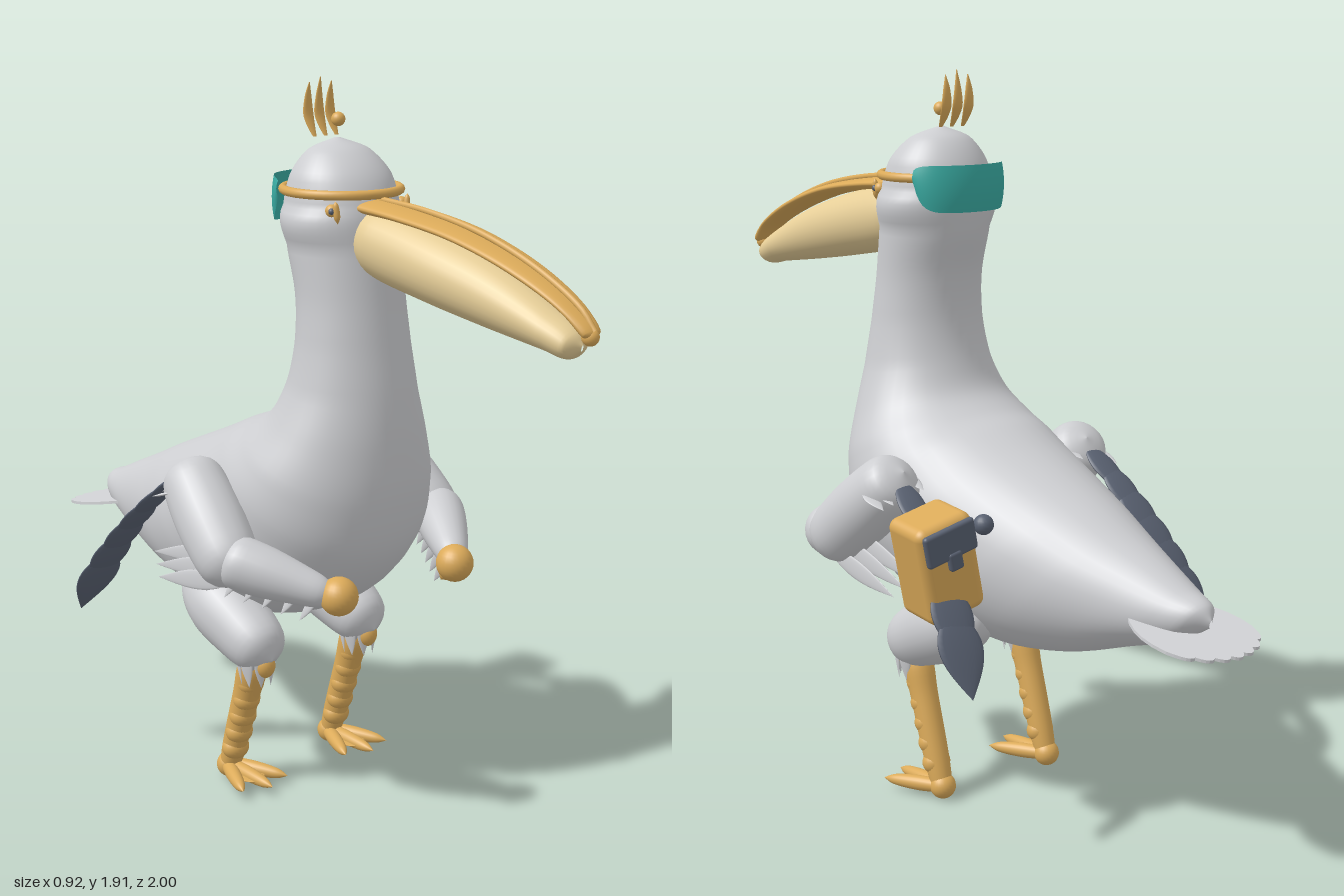
import * as THREE from 'three';
import { RoundedBoxGeometry } from 'three/addons/geometries/RoundedBoxGeometry.js';

const mat = (name, color, extra = {}) => Object.assign(new THREE.MeshStandardMaterial({ color, ...extra }), { name });
const V = (x, y, z) => new THREE.Vector3(x, y, z);

export function createModel() {
  const grey = mat('plumage grey', 0xcdced1);
  const pale = mat('feather grey', 0xd2d3d6, { side: THREE.DoubleSide });
  const gold = mat('gold', 0xdcab5a);
  const tan = mat('pouch tan', 0xe6ce98);
  const slate = mat('slate', 0x5a6272);
  const teal = mat('teal', 0x3aaca3, { side: THREE.DoubleSide });

  const model = new THREE.Group();
  model.name = 'pelican';
  const bird = new THREE.Group();
  bird.name = 'bird';
  bird.position.x = -0.015;
  model.add(bird);

  const add = (name, geo, material, pos, parent = bird) => {
    const m = new THREE.Mesh(geo, material);
    m.name = name;
    if (pos) m.position.copy(pos);
    parent.add(m);
    return m;
  };
  const ball = (name, r, material, pos) => add(name, new THREE.SphereGeometry(r, 24, 16), material, pos);

  // Skin over elliptical rings [z1, y1, z2, y2, halfWidth], smoothed between them
  const loft = (rings, steps, n = 40) => {
    const tracks = [[0, 1], [2, 3], [4, 4]].map(([a, b]) =>
      new THREE.CatmullRomCurve3(rings.map(r => V(r[a], r[b], 0))));
    const pos = [], idx = [];
    for (let i = 0; i <= steps; i++) {
      const [f, b, w] = tracks.map(t => t.getPoint(i / steps));
      for (let j = 0; j < n; j++) {
        const a = (j / n) * Math.PI * 2, k = (1 + Math.cos(a)) / 2;
        pos.push(Math.sin(a) * Math.max(w.x, 0), b.y + (f.y - b.y) * k, b.x + (f.x - b.x) * k);
        if (i < steps) {
          const p = i * n + j, q = i * n + (j + 1) % n;
          idx.push(p, p + n, q, q, p + n, q + n);
        }
      }
    }
    const g = new THREE.BufferGeometry();
    g.setAttribute('position', new THREE.Float32BufferAttribute(pos, 3));
    g.setIndex(idx);
    g.computeVertexNormals();
    return g;
  };

  // Turned limb from a to b, with profile points [radius, fraction of length]
  const limb = (name, a, b, profile, material) => {
    const d = b.clone().sub(a), len = d.length();
    const curve = new THREE.SplineCurve(profile.map(([r, t]) => new THREE.Vector2(r, t * len)));
    const pts = curve.getPoints(24).map(p => new THREE.Vector2(Math.max(p.x, 0), p.y));
    const m = add(name, new THREE.LatheGeometry(pts, 24), material, a);
    m.quaternion.setFromUnitVectors(V(0, 1, 0), d.normalize());
    return m;
  };

  // Flat feather with a pointed tip at b, spread along the direction "across"
  const leafProfile = [];
  for (let i = 0; i <= 14; i++) {
    const t = i / 14;
    leafProfile.push(new THREE.Vector2(Math.max(0.5 * Math.sin(Math.PI * t ** 0.8), 0), t - 0.5));
  }
  const leaf = new THREE.LatheGeometry(leafProfile, 14).rotateX(Math.PI / 2);
  const feather = (name, a, b, width, across, material, thick = 0.008) => {
    const d = b.clone().sub(a), len = d.length();
    d.normalize();
    const n = d.clone().cross(across).normalize();
    const m = add(name, leaf, material, a.clone().lerp(b, 0.5));
    m.quaternion.setFromRotationMatrix(new THREE.Matrix4().makeBasis(n.clone().cross(d), n, d));
    m.scale.set(width, thick, len);
  };

  // Head, neck and body in one skin
  add('body', loft([
    [0.125, 1.765, 0.115, 1.765, 0.005], [0.195, 1.735, 0.055, 1.735, 0.085],
    [0.255, 1.675, 0.012, 1.675, 0.134], [0.283, 1.6, -0.008, 1.6, 0.15],
    [0.292, 1.5, 0.005, 1.5, 0.15], [0.305, 1.38, 0.038, 1.38, 0.147],
    [0.322, 1.25, 0.044, 1.26, 0.156], [0.34, 1.12, 0.022, 1.15, 0.178],
    [0.35, 0.98, -0.015, 1.075, 0.22], [0.345, 0.84, -0.08, 1.03, 0.265],
    [0.31, 0.7, -0.16, 1, 0.288], [0.22, 0.585, -0.26, 0.955, 0.29],
    [0.08, 0.5, -0.38, 0.905, 0.273], [-0.08, 0.45, -0.5, 0.855, 0.243],
    [-0.25, 0.435, -0.62, 0.8, 0.2], [-0.45, 0.465, -0.72, 0.757, 0.15],
    [-0.65, 0.53, -0.82, 0.712, 0.1], [-0.8, 0.58, -0.88, 0.688, 0.058],
    [-0.895, 0.635, -0.9, 0.655, 0.004],
  ], 108), grey);

  // Scalloped tail fan, sloping down to the rear
  const fan = new THREE.Shape();
  fan.moveTo(-0.06, 0.0);
  fan.quadraticCurveTo(-0.17, 0.1, -0.148, 0.22);
  for (let i = 0; i < 7; i++) {
    const edge = k => [-0.148 + 0.296 * k, 0.225 + 0.09 * Math.sin(Math.PI * k) ** 0.6];
    const [mx, my] = edge((i + 0.5) / 7), [ex, ey] = edge((i + 1) / 7);
    fan.quadraticCurveTo(mx, my + 0.03, ex, ey);
  }
  fan.quadraticCurveTo(0.17, 0.1, 0.06, 0.0);
  const tail = add('tailFan', new THREE.ExtrudeGeometry(fan, { depth: 0.008, bevelEnabled: false, curveSegments: 6 }),
    pale, V(0, 0.643, -0.675));
  tail.rotation.x = -Math.PI / 2 - 0.18;

  // Beak: pouch below, slim upper bill with ridge, rims and hooked tip
  add('pouch', loft([
    [0.24, 1.6, 0.24, 1.45, 0.07], [0.32, 1.6, 0.3, 1.425, 0.088], [0.5, 1.565, 0.48, 1.39, 0.091],
    [0.7, 1.505, 0.68, 1.358, 0.08], [0.87, 1.428, 0.86, 1.333, 0.062],
    [0.94, 1.388, 0.925, 1.323, 0.047], [0.957, 1.36, 0.953, 1.345, 0.003],
  ], 42, 28), tan);
  add('upperBill', loft([
    [0.25, 1.625, 0.25, 1.585, 0.065], [0.4, 1.612, 0.4, 1.578, 0.073], [0.6, 1.58, 0.6, 1.548, 0.067],
    [0.8, 1.517, 0.79, 1.488, 0.055], [0.93, 1.45, 0.92, 1.425, 0.042],
    [0.99, 1.4, 0.97, 1.38, 0.03], [0.995, 1.38, 0.985, 1.373, 0.003],
  ], 42, 24), gold);
  ball('billTip', 0.021, gold, V(0, 1.382, 0.978));
  const ridge = new THREE.CatmullRomCurve3([V(0, 1.624, 0.27), V(0, 1.61, 0.45), V(0, 1.575, 0.64),
    V(0, 1.512, 0.82), V(0, 1.44, 0.95), V(0, 1.395, 0.99)]);
  add('billRidge', new THREE.TubeGeometry(ridge, 40, 0.008, 8), gold);

  // Head band with a broad curved visor at the back
  const band = add('headBand', new THREE.TorusGeometry(0.149, 0.012, 10, 56), gold, V(0, 1.637, 0.137));
  band.rotation.x = Math.PI / 2;
  const visor = new THREE.PlaneGeometry(1, 1, 32, 8), vp = visor.attributes.position;
  for (let i = 0; i < vp.count; i++) {
    const u = vp.getX(i) * 2, v = vp.getY(i), a = u * 1.5;
    const top = 1.672 - 0.012 * u ** 8, low = 1.55 + 0.07 * u ** 6;
    const bulge = 0.006 * (1 - 4 * v * v);
    vp.setXYZ(i, -Math.sin(a) * (0.142 + bulge), low + (v + 0.5) * (top - low), 0.062 - Math.cos(a) * (0.09 + bulge));
  }
  visor.computeVertexNormals();
  add('visor', visor, teal);

  // Crest of three feathers and a bead
  for (const x of [-0.037, 0, 0.037]) {
    const top = x ? 1.9 : 1.912;
    add('crestFeather', loft([
      [0.056, top, 0.054, top, 0.001], [0.054, 1.865, 0.046, 1.865, 0.011], [0.056, 1.82, 0.046, 1.82, 0.017],
      [0.066, 1.79, 0.058, 1.79, 0.013], [0.078, 1.765, 0.074, 1.765, 0.006],
    ], 20, 12), gold, V(x, 0, 0));
  }
  ball('crestBead', 0.018, gold, V(0, 1.81, 0.123));

  for (const s of [1, -1]) {
    const P = (x, y, z) => V(s * x, y, z);

    // Eye
    ball('eye', 0.016, gold, P(0.118, 1.6, 0.232));
    ball('pupil', 0.008, slate, P(0.128, 1.6, 0.243));
    limb('eyeLoop', P(0.122, 1.625, 0.25), P(0.116, 1.568, 0.253), [[0, 0], [0.007, 0.2], [0.008, 0.7], [0, 1]], gold);

    // Arm-like wing
    limb('upperWing', P(0.315, 0.92, -0.12), P(0.37, 0.665, 0.17),
      [[0, 0], [0.07, 0.08], [0.088, 0.3], [0.088, 0.62], [0.07, 0.87], [0, 1]], grey);
    limb('foreWing', P(0.385, 0.735, 0.1), P(0.215, 0.65, 0.355),
      [[0, 0], [0.062, 0.12], [0.068, 0.35], [0.052, 0.7], [0.035, 0.92], [0, 1]], grey);
    ball('hand', 0.05, gold, P(0.205, 0.652, 0.362));
    limb('thumb', P(0.2, 0.645, 0.36), P(0.18, 0.605, 0.335), [[0, 0], [0.018, 0.3], [0.016, 0.7], [0, 1]], gold);

    // Short fringe feathers under the forewing and at the shoulder
    for (let i = 0; i < 6; i++) {
      const t = i / 5, a = P(0.36 - 0.13 * t, 0.7 - 0.05 * t, 0.09 + 0.22 * t);
      feather('fringeFeather', a, a.clone().add(P(0.01, -0.085, -0.06)), 0.028, V(0, 0.4, 1), pale);
    }
    for (let i = 0; i < 5; i++) {
      const a = P(0.27 + 0.032 * i, 0.9 - 0.008 * i, -0.06);
      feather('shoulderFeather', a, a.clone().add(P(0.005, -0.03, -0.09)), 0.04, V(1, 0, 0), pale);
    }
    // Long grey trailing feathers
    for (let i = 0; i < 3; i++) {
      feather('trailingFeather', P(0.33 + 0.02 * i, 0.73 - 0.03 * i, 0.14), P(0.35 + 0.015 * i, 0.66 - 0.025 * i, -0.22 + 0.03 * i),
        0.055, V(0, 1, 0), pale);
    }
    // Overlapping slate flight feathers along a drooping curve
    const droop = new THREE.QuadraticBezierCurve3(P(0.32, 0.9, -0.11), P(0.36, 0.74, -0.35), P(0.4, 0.435, -0.5));
    for (let i = 0; i < 6; i++) {
      feather('flightFeather', droop.getPoint(i * 0.13), droop.getPoint(0.35 + i * 0.13), 0.08 + 0.011 * i, V(1, 0, 0), slate, 0.02);
    }

    // Thigh, feather cuff and knee
    limb('thigh', P(0.185, 0.39, 0.075), P(0.175, 0.56, -0.28),
      [[0, 0], [0.068, 0.1], [0.09, 0.35], [0.095, 0.65], [0.06, 0.9], [0, 1]], grey);
    limb('thighCuff', P(0.185, 0.37, 0.01), P(0.185, 0.47, -0.02), [[0.043, 0], [0.058, 0.4], [0.064, 0.7], [0, 1]], pale);
    for (let i = 0; i < 8; i++) {
      const a = (i + 0.5) / 8 * Math.PI * 2, c = Math.cos(a), n = Math.sin(a);
      feather('cuffFeather', P(0.185 + 0.058 * c, 0.43, 0.005 + 0.05 * n), P(0.185 + 0.042 * c, 0.31, 0.01 + 0.042 * n),
        0.036, V(-n * s, 0, c), pale);
    }
    const knee = ball('knee', 0.03, gold, P(0.185, 0.37, 0.042));
    knee.scale.y = 1.2;

    // Shank with low scutes on the front
    limb('shank', P(0.185, 0.03, -0.11), P(0.185, 0.42, 0.015),
      [[0.028, 0], [0.034, 0.2], [0.037, 0.6], [0.039, 0.85], [0, 1]], gold);
    for (let i = 0; i < 5; i++) {
      const scute = ball('scute', 0.036, gold, P(0.185, 0.095 + i * 0.052, -0.084 + i * 0.0167));
      scute.scale.set(1.1, 0.95, 0.95);
    }

    // Webbed foot with three toes
    ball('heel', 0.035, gold, P(0.185, 0.035, -0.112));
    for (const dx of [-0.078, 0, 0.078]) {
      limb('toe', P(0.185 + dx * 0.1, 0.035, -0.11), P(0.185 + dx, 0.028, dx ? 0.045 : 0.075),
        [[0.018, 0], [0.02, 0.4], [0.014, 0.8], [0, 1]], gold);
    }
    feather('footWeb', P(0.185, 0.028, 0.03), P(0.185, 0.03, -0.12), 0.09, V(1, 0, 0), gold);
  }

  // Satchel leaning outward on the left wing, with slate flap on its rear face
  const bag = new THREE.Group();
  bag.name = 'satchel';
  bag.position.set(0.358, 0.732, -0.307);
  bag.rotation.set(-0.08, -0.05, -0.25);
  bird.add(bag);
  add('satchelBody', new RoundedBoxGeometry(0.165, 0.265, 0.148, 4, 0.026), gold, null, bag);
  add('satchelFlap', new RoundedBoxGeometry(0.15, 0.085, 0.02, 3, 0.009), slate, V(-0.002, 0.078, -0.075), bag);
  add('satchelClasp', new RoundedBoxGeometry(0.04, 0.05, 0.02, 3, 0.008), slate, V(-0.005, 0.03, -0.079), bag);
  add('satchelRoll', new THREE.SphereGeometry(0.026, 16, 12), slate, V(-0.115, 0.075, -0.06), bag);

  return model;
}
